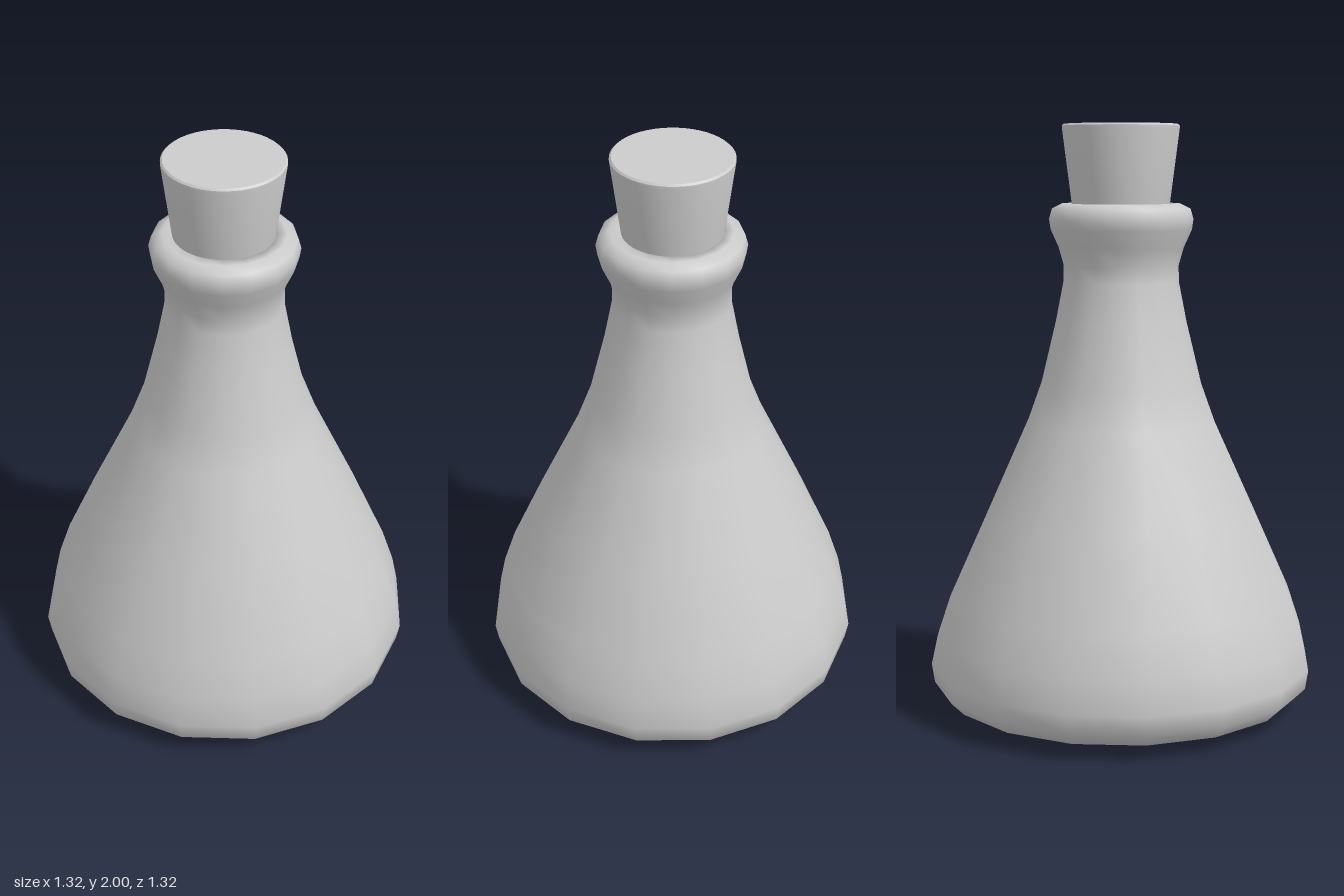
import * as THREE from 'three';
import { mergeVertices, toCreasedNormals } from 'three/addons/utils/BufferGeometryUtils.js';

const material = new THREE.MeshStandardMaterial({ color: 0xcccccc });

// Closed lathe with the seam welded; profile runs bottom to top as [radius, y]
function lathe(profile, sides) {
  const geometry = new THREE.LatheGeometry(profile.map(([r, y]) => new THREE.Vector2(r, y)), sides);
  geometry.deleteAttribute('uv');
  geometry.deleteAttribute('normal');
  return mergeVertices(geometry, 1e-4);
}

function createFlask() {
  const sides = 16;
  const geometry = lathe([
    [0, 0.005], [0.3, 0.01], [0.48, 0.02], [0.605, 0.05], [0.65, 0.095], [0.66, 0.16],
    [0.637, 0.265], [0.592, 0.4], [0.47, 0.68], [0.323, 1.0], [0.275, 1.13],
    [0.223, 1.34], [0.196, 1.475], [0.195, 1.53], [0.212, 1.59], [0.239, 1.65],
    [0.244, 1.685], [0.234, 1.72], [0.2, 1.737], [0.155, 1.735], [0.15, 1.65],
  ], sides);

  // Rings turn gradually by half a facet from the body to the lip
  const position = geometry.attributes.position;
  const point = new THREE.Vector3();
  const up = new THREE.Vector3(0, 1, 0);
  for (let i = 0; i < position.count; i++) {
    point.fromBufferAttribute(position, i);
    const t = THREE.MathUtils.clamp((point.y - 0.4) / 1.1, 0, 1);
    point.applyAxisAngle(up, 0.026 + t * Math.PI / sides);
    position.setXYZ(i, point.x, point.y, point.z);
  }
  geometry.computeVertexNormals();

  const flask = new THREE.Mesh(geometry, material);
  flask.name = 'flask';
  return flask;
}

function createStopper() {
  // Tapered plug with a slightly softened top rim
  const profile = [[0, 1.6], [0.147, 1.6], [0.165, 1.735], [0.197, 1.985], [0.197, 1.994], [0.191, 2], [0, 2]];
  const stopper = new THREE.Mesh(toCreasedNormals(lathe(profile, 48), 0.7), material);
  stopper.name = 'stopper';
  stopper.position.x = -0.003;
  return stopper;
}

export function createModel() {
  const model = new THREE.Group();
  model.name = 'stopperedFlask';
  model.add(createFlask(), createStopper());
  return model;
}
